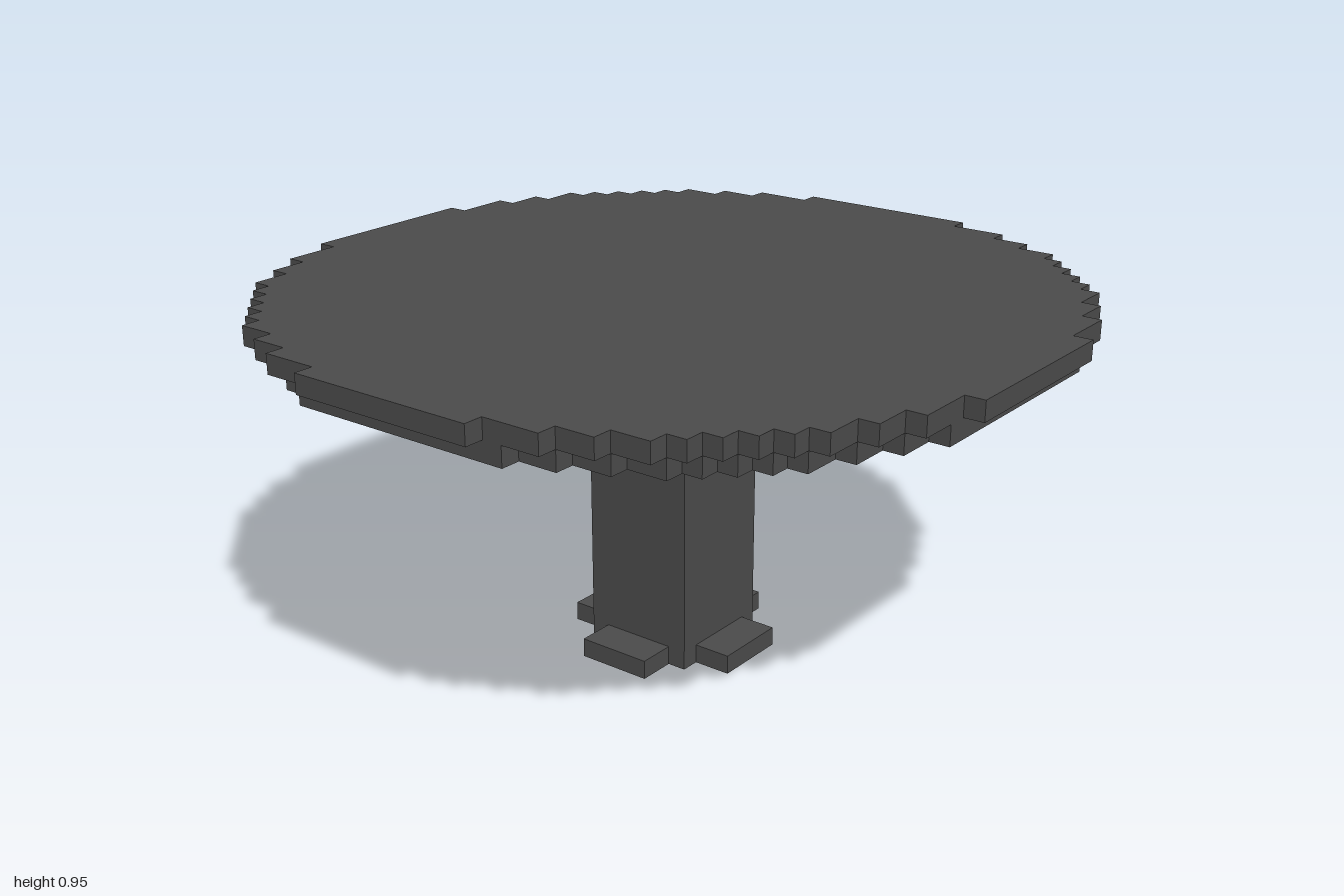
import * as THREE from 'three';

const CELL = 0.05;

// Half width, in cells, of one row of a stepped disc
function rowHalfWidth(row, limit) {
  return Math.floor(Math.sqrt(limit - (row + 0.5) ** 2) + 0.5);
}

// Stepped disc outline: walk up the right edge, then back down the left
function steppedDisc(radiusCells, limit, height) {
  const right = [];
  for (let row = -radiusCells; row < radiusCells; row++) {
    const w = rowHalfWidth(row, limit);
    const last = right[right.length - 1];
    if (last && last[0] === w) last[1] = row + 1;
    else right.push([w, row], [w, row + 1]);
  }
  const left = right.map(([x, y]) => [-x, y]).reverse();
  const points = [...right, ...left].map(([x, y]) => new THREE.Vector2(x * CELL, y * CELL));
  const geometry = new THREE.ExtrudeGeometry(new THREE.Shape(points), { depth: height, bevelEnabled: false });
  return geometry.rotateX(-Math.PI / 2);
}

export function createModel() {
  const table = new THREE.Group();
  table.name = 'roundTable';
  const charcoal = new THREE.MeshStandardMaterial({ color: 0x4a4a4a });
  charcoal.name = 'charcoal';

  function add(name, geometry, x, y, z) {
    const mesh = new THREE.Mesh(geometry, charcoal);
    mesh.name = name;
    mesh.position.set(x, y, z);
    table.add(mesh);
  }

  // Two-layer round top, the lower layer one cell smaller
  add('tableTop', steppedDisc(20, 406, CELL), 0, 0.9, 0);
  add('tableTopUnderside', steppedDisc(19, 374, CELL), 0, 0.85, 0);

  // Square central column
  add('column', new THREE.BoxGeometry(0.3, 0.85, 0.3), 0, 0.425, 0);

  // One low foot on each side of the column
  for (const side of [-1, 1]) {
    add(side > 0 ? 'leftFoot' : 'rightFoot', new THREE.BoxGeometry(0.1, 0.05, 0.2), side * 0.2, 0.025, 0);
    add(side > 0 ? 'frontFoot' : 'backFoot', new THREE.BoxGeometry(0.2, 0.05, 0.1), 0, 0.025, side * 0.2);
  }
  return table;
}
